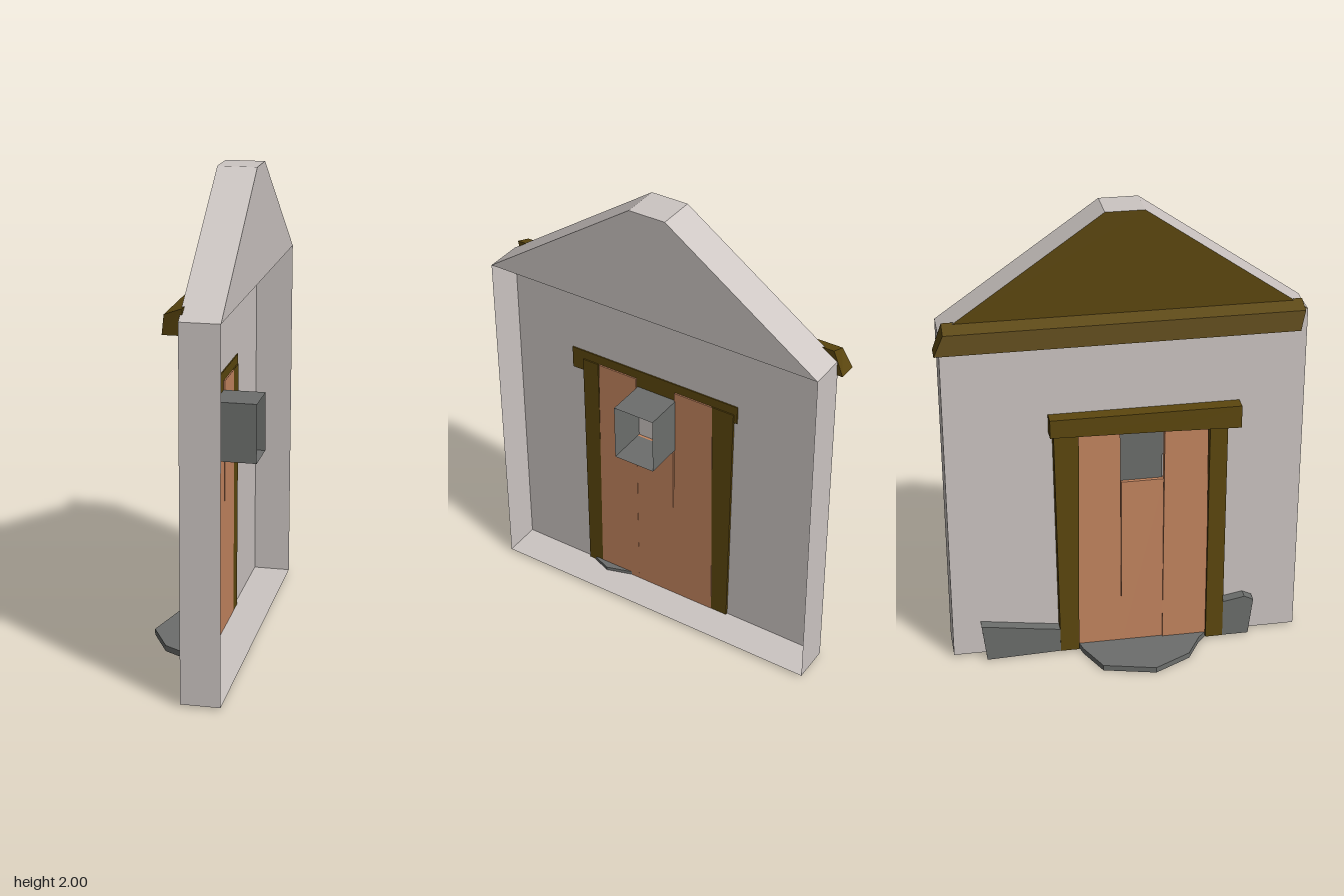
import * as THREE from 'three';

const mat = (name, color, side = THREE.FrontSide) => {
  const m = new THREE.MeshStandardMaterial({ color, side });
  m.name = name;
  return m;
};

// Shape from [z, y] pairs
const shapeOf = (pts) => new THREE.Shape(pts.map(([z, y]) => new THREE.Vector2(z, y)));

// Flat sheet facing along x, drawn in [z, y]
const sheet = (pts, x) =>
  new THREE.ShapeGeometry(shapeOf(pts)).rotateY(-Math.PI / 2).translate(x, 0, 0);

// Solid slab drawn in [z, y], reaching from x0 to x1
const slab = (pts, x0, x1) =>
  new THREE.ExtrudeGeometry(shapeOf(pts), { depth: x1 - x0, bevelEnabled: false })
    .rotateY(-Math.PI / 2).translate(x1, 0, 0);

// Open band joining an outline at x0 to the same outline at x1
function band(pts, x0, x1) {
  const pos = [];
  pts.forEach(([z, y], i) => {
    const [z2, y2] = pts[(i + 1) % pts.length];
    pos.push(x0, y, z, x1, y, z, x1, y2, z2, x0, y, z, x1, y2, z2, x0, y2, z2);
  });
  const g = new THREE.BufferGeometry();
  g.setAttribute('position', new THREE.Float32BufferAttribute(pos, 3));
  g.computeVertexNormals();
  return g;
}

export function createModel() {
  const group = new THREE.Group();
  const plaster = mat('plaster', 0xccc5c2, THREE.DoubleSide);
  const timber = mat('dark timber', 0x5c470e, THREE.DoubleSide);
  const doorWood = mat('door wood', 0xc4855f);
  const stone = mat('grey stone', 0x6c6e6c, THREE.DoubleSide);

  const add = (name, geometry, material) => {
    const m = new THREE.Mesh(geometry, material);
    m.name = name;
    group.add(m);
    return m;
  };

  // Hollow wall, open at the inner side below the gable
  const front = 0.04, back = 0.2;
  const gable = [[-0.74, 1.53], [0.765, 1.53], [0.09, 2], [-0.07, 2]];
  const lower = [[-0.74, 0.01], [0.765, 0.01], [0.765, 1.53], [-0.74, 1.53]];
  const outline = [lower[0], lower[1], ...gable.slice(1), gable[0]];
  add('wallRim', band(outline, front, back), plaster);
  add('wallPanel', sheet(lower, front), plaster);
  add('gableInner', sheet(gable, back), plaster);
  add('gableOuter', sheet(gable, front), timber);

  // Eaves beam with a sloped section and skewed ends
  const beam = new THREE.BoxGeometry(1, 1, 1).toNonIndexed();
  const p = beam.attributes.position;
  for (let i = 0; i < p.count; i++) {
    const inner = p.getX(i) > 0, top = p.getY(i) > 0, plus = p.getZ(i) > 0;
    p.setXYZ(i,
      inner ? (top ? 0.05 : 0.045) : (top ? -0.02 : -0.033),
      top ? (inner ? 1.575 : 1.55) : 1.467,
      plus ? (top ? 0.74 : 0.72) : (top ? -0.725 : -0.765));
  }
  beam.computeVertexNormals();
  add('eavesBeam', beam, timber);

  // Door frame
  add('doorHeader', slab([[-0.31, 1.06], [0.17, 1.05], [0.49, 1.04], [0.49, 1.14], [-0.31, 1.14]], -0.02, 0.045), timber);
  add('doorPostLeft', slab([[0.36, 0.01], [0.435, 0.01], [0.435, 1.1], [0.36, 1.1]], -0.008, 0.05), timber);
  add('doorPostRight', slab([[-0.28, 0.01], [-0.2, 0.01], [-0.19, 1.1], [-0.295, 1.1]], -0.008, 0.05), timber);

  // Door planks, the middle one shortened to leave a window
  [
    [[0.17, 0.01], [0.365, 0.01], [0.355, 1.1], [0.172, 1.1]],
    [[-0.01, 0.01], [0.17, 0.01], [0.17, 0.81], [-0.01, 0.81]],
    [[-0.205, 0.01], [-0.01, 0.01], [-0.015, 1.1], [-0.195, 1.1]],
  ].forEach((pts, i) => add('doorPlank' + (i + 1), slab(pts, i === 0 ? 0.008 : 0.014, 0.051), doorWood));

  // Window box, open towards the inside
  const box = new THREE.BoxGeometry(0.19, 0.25, 0.185).translate(0.125, 0.935, 0.073);
  box.setIndex(Array.from(box.index.array).slice(6));
  box.clearGroups();
  add('windowBox', box, stone);

  // Doorstep, drawn in plan as [x, z]
  const plan = [[-0.03, -0.185], [-0.17, -0.12], [-0.225, 0.1], [-0.14, 0.26], [-0.03, 0.325],
    [0.055, 0.4], [0.085, 0.32], [0.045, 0.19], [0.03, -0.2]];
  const step = new THREE.ExtrudeGeometry(
    new THREE.Shape(plan.map(([x, z]) => new THREE.Vector2(x, -z))),
    { depth: 0.025, bevelEnabled: false }).rotateX(-Math.PI / 2);
  add('doorstep', step, stone);

  // Stones at the foot of the door frame
  add('footStoneRight', slab([[-0.6, 0], [-0.28, 0.01], [-0.28, 0.12], [-0.42, 0.14], [-0.62, 0.17]], -0.006, 0.0395), stone);
  add('footStoneLeft', slab([[0.42, 0.01], [0.55, 0.01], [0.57, 0.18], [0.53, 0.2], [0.42, 0.18]], -0.006, 0.0395), stone);

  return group;
}
